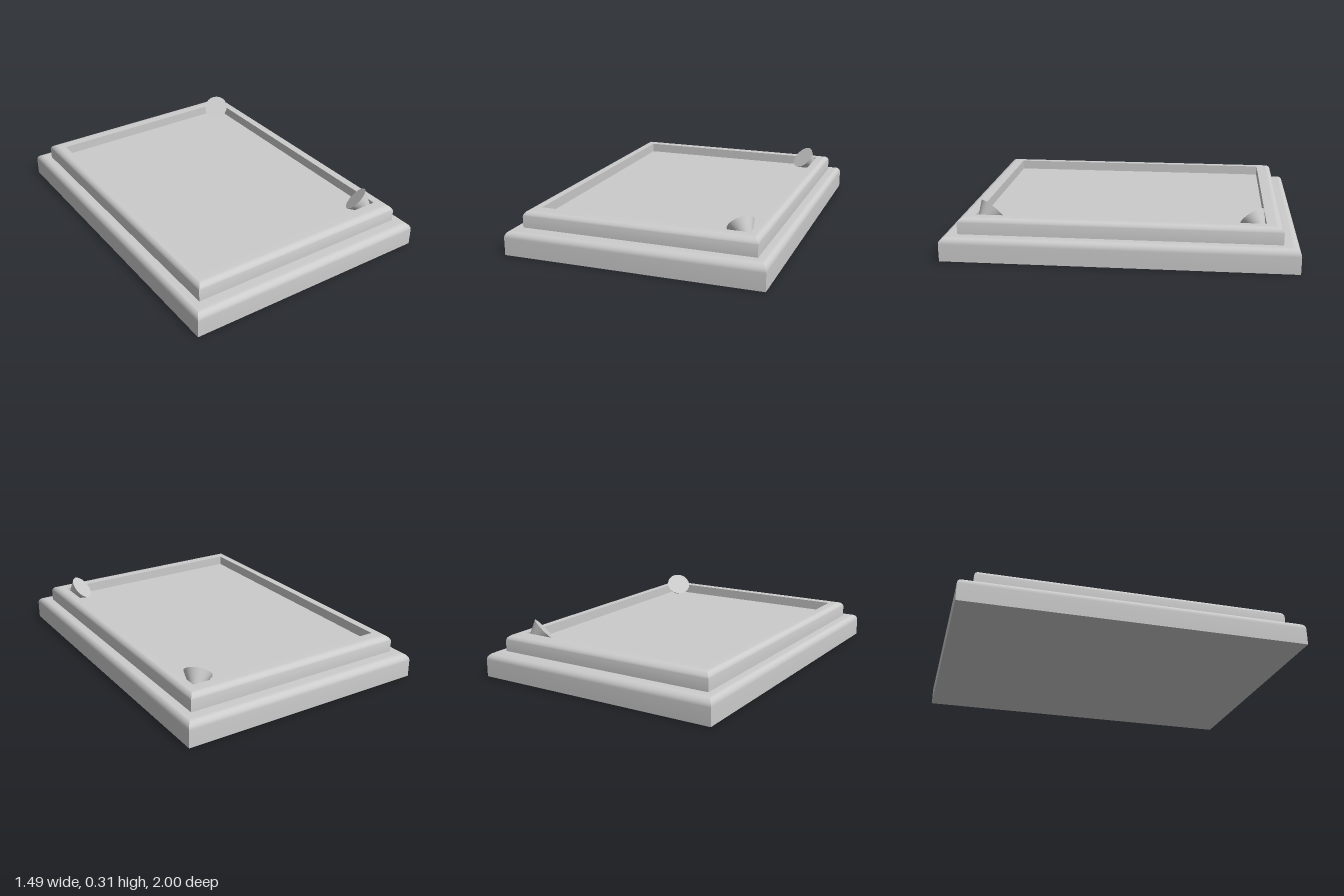
import * as THREE from 'three';
import { toCreasedNormals } from 'three/addons/utils/BufferGeometryUtils.js';

const material = new THREE.MeshStandardMaterial({ color: 0xcccccc });
const DEPTH_RATIO = 1.339; // length along z for each unit of width

// Sweeps a profile of [half width, height] points around a rectangle
function rectangularSweep(name, profile) {
  const points = profile.map(([x, y]) => new THREE.Vector2(x, y));
  const geometry = new THREE.LatheGeometry(points, 4);
  geometry.rotateY(Math.PI / 4);
  geometry.scale(Math.SQRT2, 1, Math.SQRT2 * DEPTH_RATIO);
  const mesh = new THREE.Mesh(toCreasedNormals(geometry, Math.PI / 7), material);
  mesh.name = name;
  return mesh;
}

// Quarter-round edge from a vertical side to a level top
function roundedEdge(x, y, rx, ry, steps = 8) {
  return Array.from({ length: steps + 1 }, (_, i) => {
    const a = (i / steps) * Math.PI / 2;
    return [x - rx + rx * Math.cos(a), y - ry + ry * Math.sin(a)];
  });
}

export function createModel() {
  const group = new THREE.Group();
  group.name = 'steppedTray';

  // Wide lower slab
  group.add(rectangularSweep('base', [
    [0, 0], [0.747, 0],
    ...roundedEdge(0.747, 0.14, 0.035, 0.04),
    [0.66, 0.14],
  ]));

  // Raised rim around a sunken panel
  group.add(rectangularSweep('rimAndPanel', [
    [0.678, 0.135],
    ...roundedEdge(0.678, 0.237, 0.036, 0.036),
    [0.608, 0.237], [0.608, 0.18], [0, 0.18],
  ]));

  // Cone studs in the two left corners, their flat faces tilted to the middle
  const radius = 0.078, height = 0.145;
  for (const side of [1, -1]) {
    const facing = new THREE.Vector3(-0.53, 0.66, -0.53 * side).normalize();
    const stud = new THREE.Mesh(new THREE.ConeGeometry(radius, height, 48), material);
    stud.name = side > 0 ? 'frontCornerStud' : 'backCornerStud';
    stud.quaternion.setFromUnitVectors(new THREE.Vector3(0, -1, 0), facing);
    stud.position.set(0.533, 0.252, 0.738 * side).addScaledVector(facing, -height / 2);
    group.add(stud);
  }
  return group;
}
